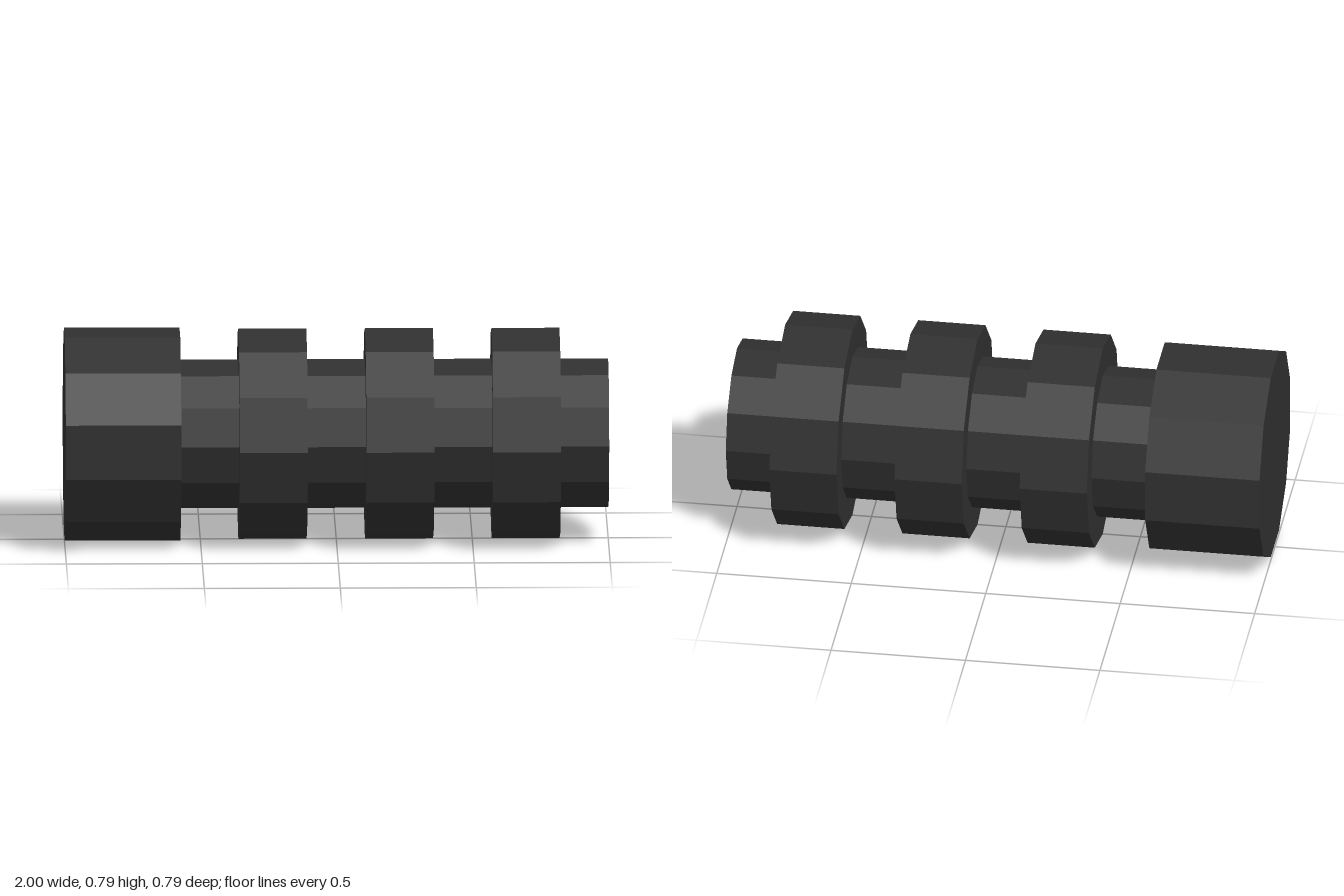
import * as THREE from 'three';

const SIDES = 12;
const RADIUS = 0.393; // outer radius of collars and end block

export function createModel() {
  const model = new THREE.Group();
  model.name = 'ribbedTube';

  const charcoal = new THREE.MeshStandardMaterial({ color: 0x303030, flatShading: true });
  charcoal.name = 'charcoal';

  // Places a geometry built along y so that its axis runs along x
  const add = (name, geometry, x = 0) => {
    geometry.rotateZ(-Math.PI / 2);
    const mesh = new THREE.Mesh(geometry, charcoal);
    mesh.name = name;
    mesh.position.set(x, RADIUS, 0);
    model.add(mesh);
  };

  const lathe = (profile) =>
    new THREE.LatheGeometry(profile.map(([r, y]) => new THREE.Vector2(r, y)), SIDES);

  // Solid end block, turned half a facet against the collars
  add('endBlock',
    new THREE.CylinderGeometry(RADIUS, RADIUS, 0.425, SIDES, 1, false, Math.PI / SIDES), -0.7875);

  // Hollow barrel, open at +x and closed by the end block
  add('barrel', lathe([[0.278, -0.575], [0.278, 1], [0.197, 1], [0.197, -0.575]]));

  // Three evenly spaced collars around the barrel
  for (let i = 0; i < 3; i++) {
    add(`collar${i + 1}`,
      lathe([[0.27, -0.125], [RADIUS, -0.125], [RADIUS, 0.125], [0.27, 0.125]]),
      -0.235 + i * 0.4655);
  }

  return model;
}
